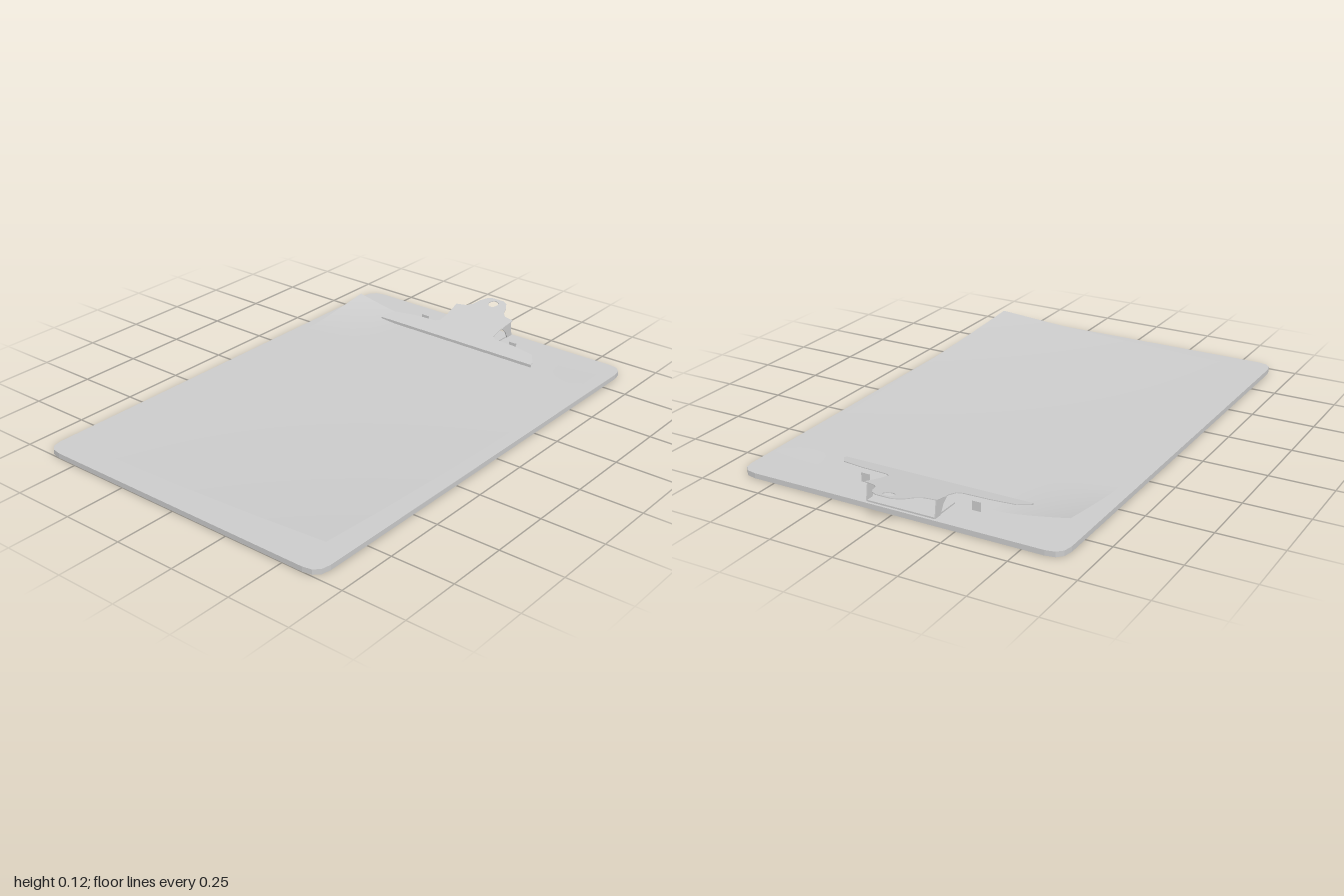
import * as THREE from 'three';

const CLIP_X = -0.028; // the clip sits slightly off centre
const CLIP_FRONT = -0.67;
const leverHeight = (z) => 0.04 + 0.23 * (CLIP_FRONT - z);

function addMesh(parent, name, geometry, material) {
  const mesh = new THREE.Mesh(geometry, material);
  mesh.name = name;
  parent.add(mesh);
  return mesh;
}

// Slab with rounded corners
function boardGeometry() {
  const w = 0.65, back = 0.91, front = -1, r = 0.065;
  const s = new THREE.Shape();
  s.moveTo(-w + r, front);
  s.lineTo(w - r, front);
  s.quadraticCurveTo(w, front, w, front + r);
  s.lineTo(w, back - r);
  s.quadraticCurveTo(w, back, w - r, back);
  s.lineTo(-w + r, back);
  s.quadraticCurveTo(-w, back, -w, back - r);
  s.lineTo(-w, front + r);
  s.quadraticCurveTo(-w, front, -w + r, front);
  return new THREE.ExtrudeGeometry(s, { depth: 0.02, bevelEnabled: false, curveSegments: 3 })
    .rotateX(-Math.PI / 2);
}

// Sheet with two opposite corners curling upward
function paperGeometry() {
  const g = new THREE.PlaneGeometry(1.21, 1.67, 24, 32).rotateX(-Math.PI / 2);
  g.translate(0.005, 0, 0.075);
  const p = g.attributes.position;
  const ramp = (t, power) => Math.pow(THREE.MathUtils.clamp(t, 0, 1), power);
  for (let i = 0; i < p.count; i++) {
    const u = (p.getX(i) + 0.6) / 1.21;
    const v = (p.getZ(i) + 0.76) / 1.67;
    const frontCurl = 0.05 * ramp(u, 1.8) * ramp(v, 2.2);
    const backCurl = 0.042 * ramp(1 - u / 0.22, 1.3) * ramp(1 - v / 0.2, 1.2);
    const sideCurl = 0.012 * ramp((u - 0.8) / 0.2, 2) * ramp(1 - v / 0.15, 1.2);
    p.setY(i, 0.028 + frontCurl + backCurl + sideCurl);
  }
  g.computeVertexNormals();
  return g;
}

// Tilted sheet-metal lever, mirrored half outline as [half width, -z]
function leverGeometry() {
  const half = [[0.385, 0.67], [0.385, 0.685], [0.352, 0.73], [0.26, 0.746], [0.155, 0.752],
    [0.138, 0.765], [0.135, 0.81], [0.146, 0.895], [0.1, 0.905], [0.08, 0.925],
    [0.068, 0.96], [0.052, 0.985], [0.028, 0.998]];
  const outline = [...half, ...half.map(([x, z]) => [-x, z]).reverse()];
  const s = new THREE.Shape(outline.map(([x, z]) => new THREE.Vector2(x, z)));
  const hole = new THREE.Path();
  hole.absarc(0, 0.962, 0.022, 0, Math.PI * 2, true);
  s.holes.push(hole);
  const g = new THREE.ExtrudeGeometry(s, { depth: 0.003, bevelEnabled: false, curveSegments: 10 })
    .rotateX(-Math.PI / 2);
  const p = g.attributes.position;
  for (let i = 0; i < p.count; i++) p.setY(i, p.getY(i) - 0.003 + leverHeight(p.getZ(i)));
  g.computeVertexNormals();
  return g;
}

// Side cheek, outline in (-z, y), standing in the plane x = 0
function cheekGeometry() {
  const outline = [[0.825, 0.075], [0.85, 0.055], [0.868, 0.022], [0.9, 0.022], [0.89, 0.09]];
  const s = new THREE.Shape(outline.map(([z, y]) => new THREE.Vector2(z, y)));
  return new THREE.ExtrudeGeometry(s, { depth: 0.004, bevelEnabled: false })
    .rotateY(Math.PI / 2).translate(-0.002, 0, 0);
}

export function createModel() {
  const model = new THREE.Group();
  model.name = 'clipboard';
  const grey = new THREE.MeshStandardMaterial({ color: 0xcccccc });
  const thin = new THREE.MeshStandardMaterial({ color: 0xcccccc, side: THREE.DoubleSide });

  addMesh(model, 'board', boardGeometry(), grey);
  addMesh(model, 'paper', paperGeometry(), thin);

  const clip = new THREE.Group();
  clip.name = 'clip';
  clip.position.x = CLIP_X;
  model.add(clip);

  addMesh(clip, 'clipLever', leverGeometry(), grey);
  // Gripping edge pressing on the sheet
  addMesh(clip, 'clipLip', new THREE.BoxGeometry(0.77, 0.016, 0.004), grey)
    .position.set(0, 0.032, CLIP_FRONT - 0.002);
  // Mounting plate on the board
  addMesh(clip, 'mountPlate', new THREE.BoxGeometry(0.27, 0.006, 0.13), grey)
    .position.set(0, 0.023, -0.835);

  for (const side of [-1, 1]) {
    const name = side > 0 ? 'left' : 'right';
    addMesh(clip, name + 'Cheek', cheekGeometry(), grey).position.x = side * 0.138;
    // Small upright tabs that stop the paper
    addMesh(clip, name + 'PaperStop', new THREE.BoxGeometry(0.034, 0.036, 0.004), grey)
      .position.set(side * 0.226, 0.037, -0.778);
  }
  return model;
}
